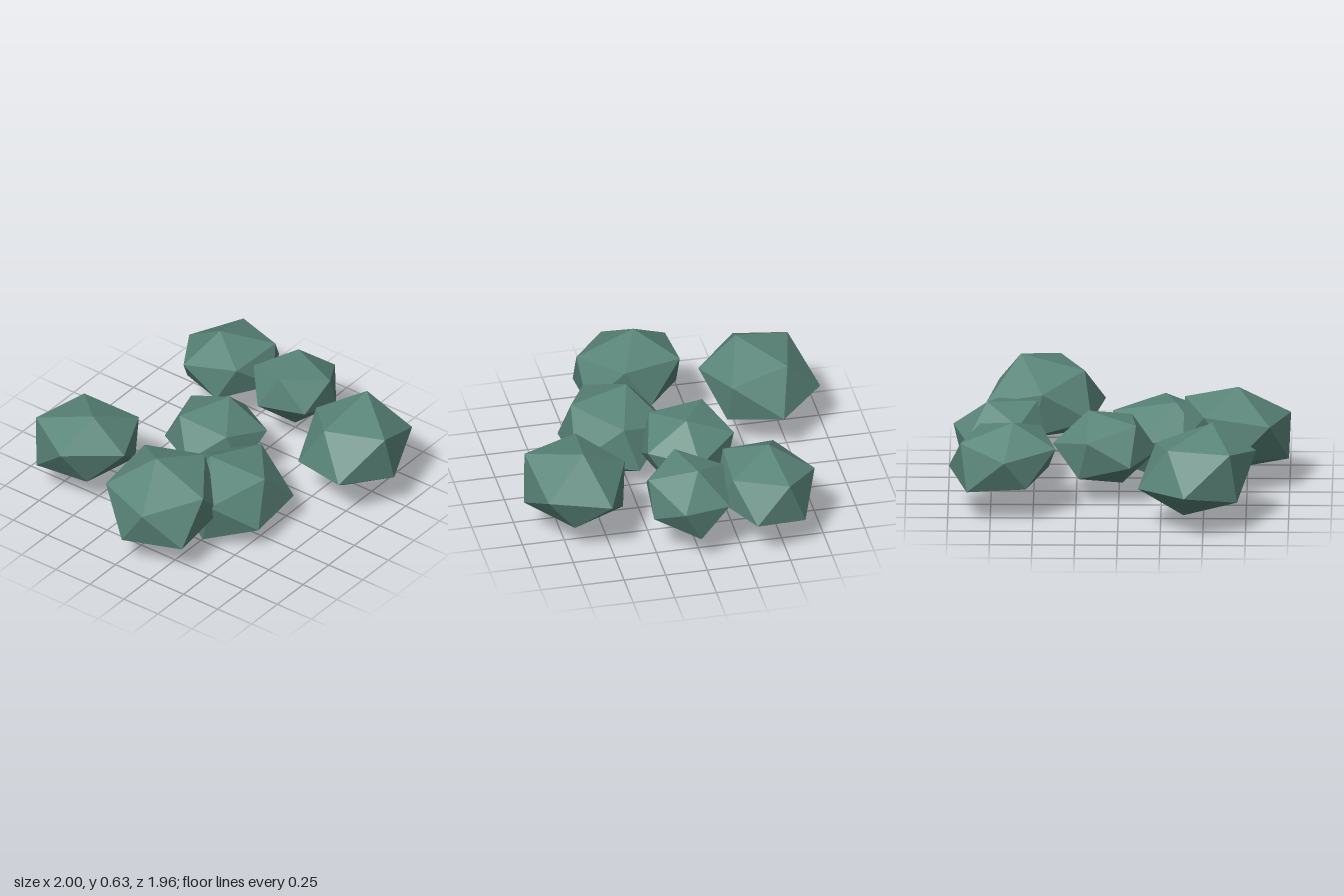
import * as THREE from 'three';

// Each rock: its centre, three corners of one upper face measured from that centre,
// and the places to which uneven corners are knocked.
const ROCKS = {
  frontRightRock: {
    centre: [0.438, 0.362, 0.671],
    face: [[0.148, 0.257, -0.015], [-0.23, 0.178, -0.052], [-0.081, 0.165, 0.27]],
    knocked: [[0.583, 0.632, 0.653], [0.711, 0.4, 0.888], [0.788, 0.366, 0.524], [0.086, 0.306, 0.818],
      [0.3, 0.133, 0.694], [0.353, 0.536, 0.957], [0.42, 0.241, 0.975], [0.455, 0.466, 0.376]],
  },
  sideLowRock: {
    centre: [-0.69, 0.359, 0.117],
    face: [[-0.01, 0.265, -0.045], [-0.195, 0.09, -0.275], [0.19, 0.15, -0.28]],
    knocked: [],
  },
  groundRock: {
    centre: [-0.265, 0.242, 0.3],
    face: [[-0.068, 0.243, -0.105], [0.302, 0.163, -0.011], [-0.002, 0.187, 0.242]],
    knocked: [[-0.016, 0.182, 0.567], [-0.396, 0.157, 0.594], [-0.603, 0.348, 0.39], [-0.562, 0.066, 0.31]],
  },
  middleRock: {
    centre: [0.08, 0.302, -0.078],
    face: [[0.1, 0.215, 0.024], [-0.181, 0.17, -0.131], [0.105, 0.1, -0.26]],
    knocked: [],
  },
  sideSmallRock: {
    centre: [0.698, 0.346, 0.05],
    face: [[0.075, 0.202, -0.044], [0.276, 0.022, 0.08], [0.196, 0.008, -0.207]],
    knocked: [[0.786, 0.257, 0.273], [0.706, 0.48, 0.289], [0.973, 0.375, 0.123]],
  },
  backSideRock: {
    centre: [0.677, 0.35, -0.415],
    face: [[-0.06, 0.222, -0.038], [-0.31, 0.085, -0.118], [-0.009, 0.064, -0.3]],
    knocked: [[0.925, 0.462, -0.513], [0.668, 0.404, -0.717], [0.995, 0.257, -0.305], [0.888, 0.194, -0.614]],
  },
  backRock: {
    centre: [-0.468, 0.346, -0.622],
    face: [[-0.082, 0.248, 0.114], [0.175, 0.158, -0.142], [-0.19, 0.156, -0.222]],
    knocked: [[-0.39, 0.277, -0.982], [-0.7, 0.2, -0.807], [-0.118, 0.25, -0.706]],
  },
};

const vector = (p) => new THREE.Vector3(...p);
const basis = (a, b, c) => new THREE.Matrix4().makeBasis(a, b, c);

function rockGeometry({ centre, face, knocked }) {
  const geometry = new THREE.IcosahedronGeometry(1, 0);
  const position = geometry.attributes.position;
  const corner = (i) => new THREE.Vector3().fromBufferAttribute(position, i);

  // squash the icosahedron so that its first face lands on the given corners
  const from = basis(corner(0), corner(1), corner(2));
  const [a, b, c] = face.map(vector);
  let to = basis(a, b, c);
  // keep the faces pointing outwards
  if (to.determinant() * from.determinant() < 0) to = basis(a, c, b);
  geometry.applyMatrix4(to.multiply(from.invert()));

  // move the corner nearest to each knocked place, in every face that shares it
  for (const place of knocked) {
    const target = vector(place).sub(vector(centre));
    const corners = Array.from({ length: position.count }, (_, i) => corner(i));
    const nearest = corners.reduce((p, q) => (q.distanceTo(target) < p.distanceTo(target) ? q : p));
    corners.forEach((p, i) => {
      if (p.distanceTo(nearest) < 1e-4) position.setXYZ(i, target.x, target.y, target.z);
    });
  }
  geometry.computeVertexNormals();
  return geometry;
}

export function createModel() {
  const group = new THREE.Group();
  group.name = 'rockCluster';
  const stone = new THREE.MeshStandardMaterial({ color: 0x5a8579 });
  stone.name = 'mossy green stone';

  for (const [name, shape] of Object.entries(ROCKS)) {
    const rock = new THREE.Mesh(rockGeometry(shape), stone);
    rock.name = name;
    rock.position.set(...shape.centre);
    group.add(rock);
  }
  return group;
}
